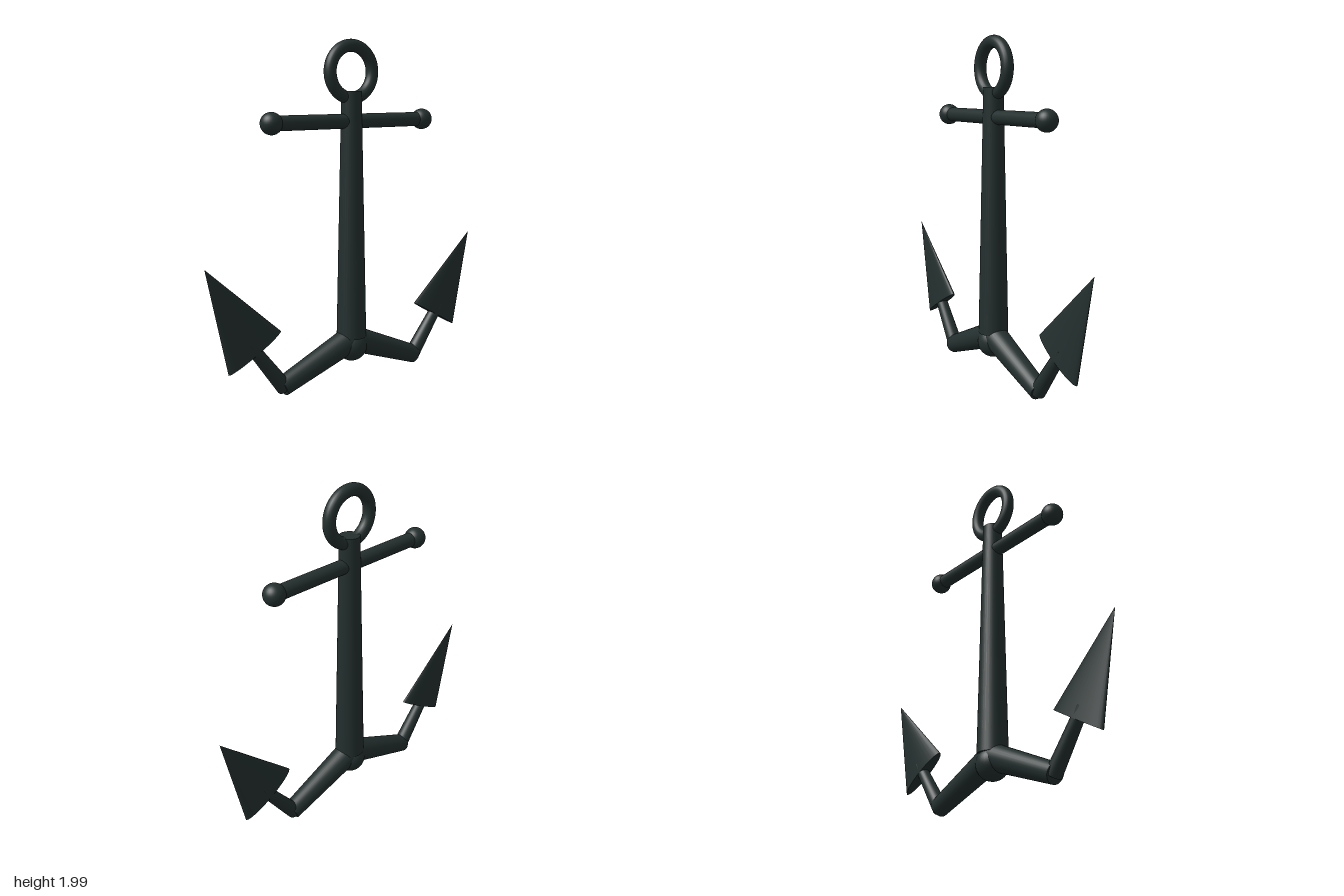
import * as THREE from 'three';

export function createModel() {
  const model = new THREE.Group();
  model.name = 'anchor';
  const iron = new THREE.MeshStandardMaterial({ color: 0x232f2e });
  iron.name = 'dark iron';

  const add = (name, geometry, x = 0, y = 0) => {
    const mesh = new THREE.Mesh(geometry, iron);
    mesh.name = name;
    mesh.position.set(x, y, 0);
    model.add(mesh);
    return mesh;
  };

  // Tapered round bar between two points in the z = 0 plane
  const bar = (name, [x0, y0], [x1, y1], r0, r1) => {
    const length = Math.hypot(x1 - x0, y1 - y0);
    const mesh = add(name, new THREE.CylinderGeometry(r1, r0, length, 32), (x0 + x1) / 2, (y0 + y1) / 2);
    mesh.rotation.z = Math.atan2(x0 - x1, y1 - y0);
    return mesh;
  };

  // Upright shank, crown ball and lifting ring
  bar('shank', [0, 0.27], [0, 1.71], 0.088, 0.058);
  add('crown', new THREE.SphereGeometry(0.094, 32, 24), 0, 0.215);
  add('ring', new THREE.TorusGeometry(0.147, 0.036, 20, 56), 0, 1.817);

  // Crossbar
  bar('stock', [-0.53, 1.54], [0.53, 1.54], 0.042, 0.042);

  for (const [side, s] of [['left', 1], ['right', -1]]) {
    add(side + 'StockBall', new THREE.SphereGeometry(0.062, 32, 20), s * 0.53, 1.54);

    // Bent arm
    bar(side + 'LowerArm', [0, 0.255], [s * 0.486, 0.062], 0.077, 0.056);
    bar(side + 'UpperArm', [s * 0.47, 0.055], [s * 0.695, 0.355], 0.046, 0.033);

    // Fluke: a cone flattened front to back
    const base = [s * 0.655, 0.295], tip = [s * 0.945, 0.8];
    bar(side + 'Fluke', base, tip, 0.19, 0).scale.z = 0.19;
  }
  return model;
}
